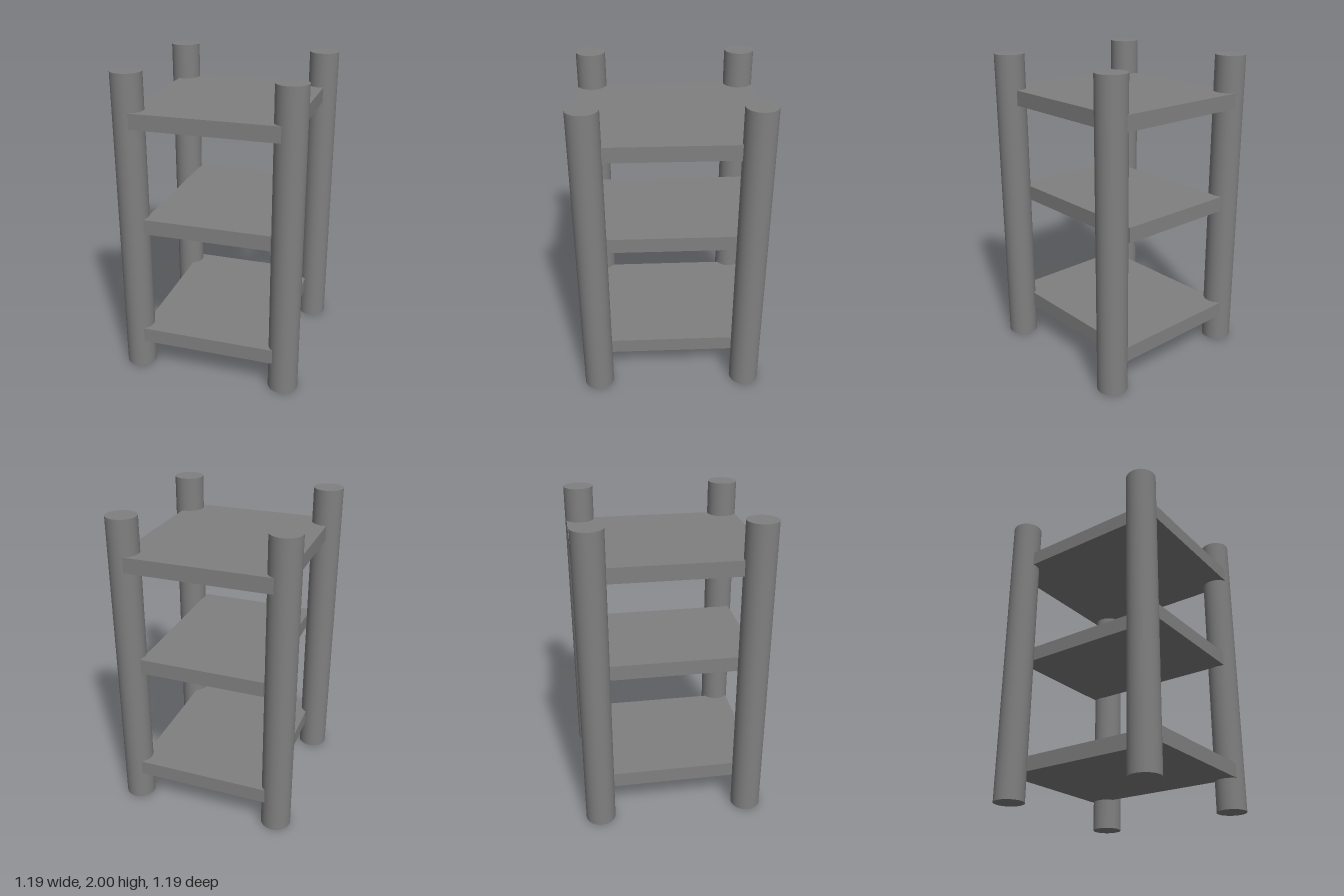
import * as THREE from 'three';

export function createModel() {
  const group = new THREE.Group();
  group.name = 'shelfUnit';
  const grey = new THREE.MeshStandardMaterial({ color: 0x808080 });
  grey.name = 'grey';

  // Four round corner posts
  const postGeometry = new THREE.CylinderGeometry(0.097, 0.097, 1.993, 48);
  for (const [side, x, y] of [['Left', 0.494, 0.9965], ['Right', -0.499, 1.0035]]) {
    for (const [end, z] of [['front', 0.497], ['back', -0.497]]) {
      const post = new THREE.Mesh(postGeometry, grey);
      post.name = `${end}${side}Post`;
      post.position.set(x, y, z);
      group.add(post);
    }
  }

  // Three flat shelves: name, width, depth, bottom height
  const shelves = [
    ['bottomShelf', 0.9, 1.15, 0.2],
    ['middleShelf', 0.81, 1.11, 0.985],
    ['topShelf', 1.03, 1.174, 1.67],
  ];
  const thickness = 0.098;
  for (const [name, width, depth, bottom] of shelves) {
    const shelf = new THREE.Mesh(new THREE.BoxGeometry(width, thickness, depth), grey);
    shelf.name = name;
    shelf.position.set(-0.003, bottom + thickness / 2, 0);
    group.add(shelf);
  }
  return group;
}
